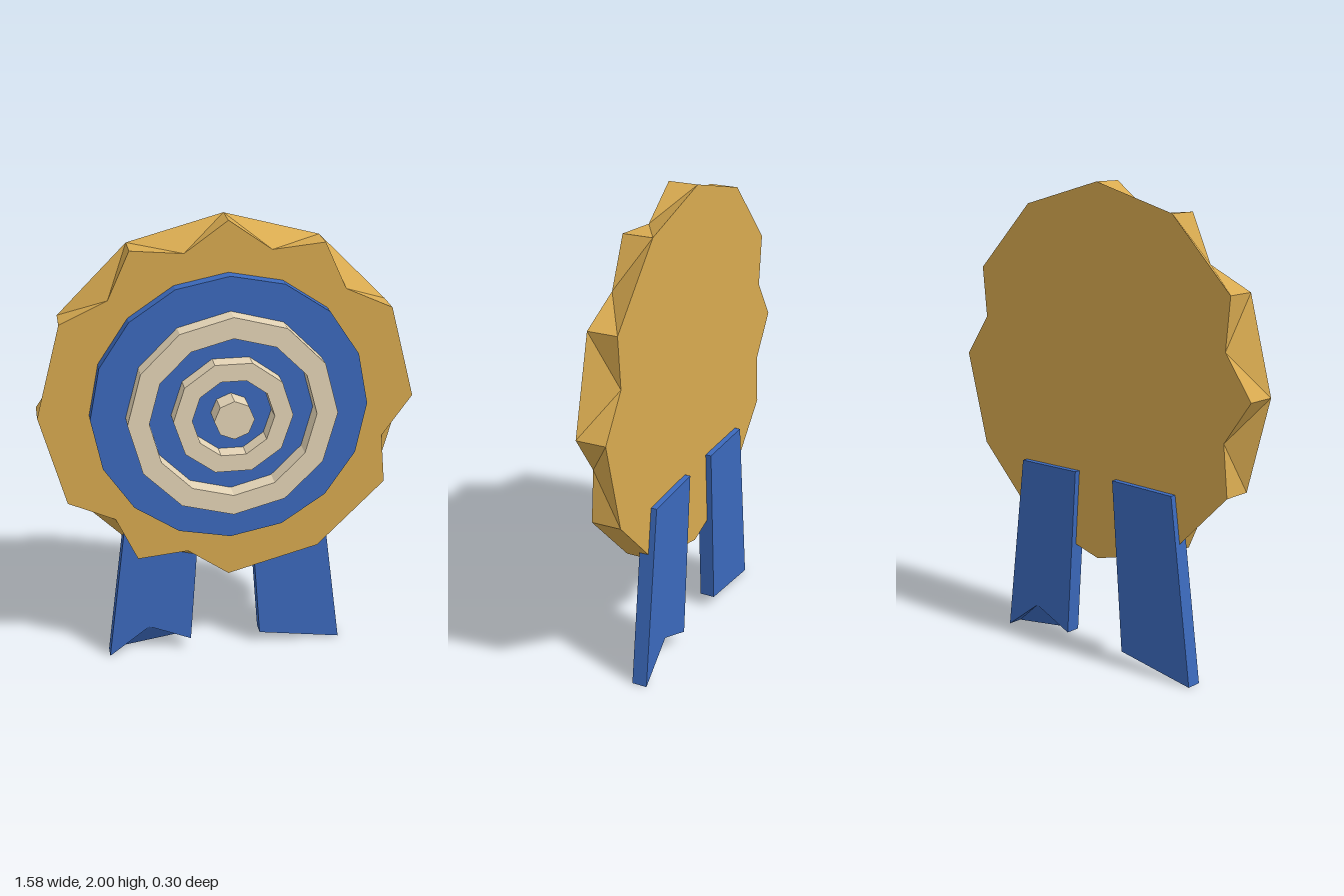
import * as THREE from 'three';

const material = (color) => new THREE.MeshStandardMaterial({ color, flatShading: true });
const gold = material(0xd8aa50);
const blue = material(0x3b69bc);
const cream = material(0xe4d4b6);

const CENTRE_Y = 1.2125;

function polygon(radius, sides, offset = 0) {
  return Array.from({ length: sides }, (_, i) => {
    const a = ((i + offset) / sides) * Math.PI * 2;
    return new THREE.Vector2(Math.cos(a) * radius, Math.sin(a) * radius);
  });
}

// Prism from a counter-clockwise outline. dents[i] = { point, front } notches
// edge i on the front or back face, leaving a sloping facet to the other face.
function dentedPrism(outline, back, front, dents = {}) {
  const pos = [];
  const tri = (...corners) => corners.forEach(([p, z]) => pos.push(p.x, p.y, z));
  const faces = { front: [], back: [] };

  outline.forEach((a, i) => {
    const b = outline[(i + 1) % outline.length];
    const dent = dents[i];
    faces.front.push(a);
    faces.back.push(a);
    let loop = [[a, back], [b, back], [b, front], [a, front]];
    if (dent) {
      const tip = [dent.point, dent.front ? front : back];
      (dent.front ? faces.front : faces.back).push(dent.point);
      // Start the wall loop at the notch tip so it can be fanned
      loop = dent.front
        ? [tip, [a, front], [a, back], [b, back], [b, front]]
        : [tip, [b, back], [b, front], [a, front], [a, back]];
    }
    for (let k = 1; k < loop.length - 1; k++) tri(loop[0], loop[k], loop[k + 1]);
  });

  for (const [i, j, k] of THREE.ShapeUtils.triangulateShape(faces.front, [])) {
    tri([faces.front[i], front], [faces.front[j], front], [faces.front[k], front]);
  }
  for (const [i, j, k] of THREE.ShapeUtils.triangulateShape(faces.back, [])) {
    tri([faces.back[k], back], [faces.back[j], back], [faces.back[i], back]);
  }
  const geometry = new THREE.BufferGeometry();
  geometry.setAttribute('position', new THREE.Float32BufferAttribute(pos, 3));
  geometry.computeVertexNormals();
  return geometry;
}

// Faceted ring lying flat against the disc
function ringGeometry(outer, inner, sides, back, front) {
  const shape = new THREE.Shape(polygon(outer, sides));
  shape.holes.push(new THREE.Path(polygon(inner, sides).reverse()));
  const geometry = new THREE.ExtrudeGeometry(shape, { depth: front - back, bevelEnabled: false });
  return geometry.translate(0, 0, back);
}

export function createModel() {
  const model = new THREE.Group();
  model.name = 'awardRosette';

  const rosette = new THREE.Group();
  rosette.name = 'rosette';
  rosette.position.y = CENTRE_Y;
  model.add(rosette);

  const add = (parent, name, geometry, mat) => {
    const mesh = new THREE.Mesh(geometry, mat);
    mesh.name = name;
    parent.add(mesh);
  };

  // Gold backing with notched rim
  const tips = polygon(0.685, 12, 0.5);
  const rimDents = {};
  for (const i of [1, 2, 3, 4, 7, 8, 11]) rimDents[i] = { point: tips[i], front: true };
  for (const i of [0, 5, 6]) rimDents[i] = { point: tips[i], front: false };
  add(rosette, 'backing', dentedPrism(polygon(0.7875, 12), -0.125, 0, rimDents), gold);

  // Blue disc, two raised rings and centre stud
  add(rosette, 'disc', dentedPrism(polygon(0.577, 16), -0.01, 0.055), blue);
  add(rosette, 'outerRing', ringGeometry(0.433, 0.345, 12, 0.05, 0.135), cream);
  add(rosette, 'innerRing', ringGeometry(0.247, 0.17, 10, 0.05, 0.13), cream);
  add(rosette, 'centreStud', dentedPrism(polygon(0.083, 8), 0.05, 0.15), cream);

  // Ribbon tails, each with a notch in its lower edge
  for (const side of [1, -1]) {
    const at = (x, y) => new THREE.Vector2(x * side, y);
    const innerLow = at(0.158, 0.055), outerLow = at(0.525, 0);
    const outerTop = at(0.422, 0.785), innerTop = at(0.105, 0.79);
    const outline = side > 0
      ? [innerLow, outerLow, outerTop, innerTop]
      : [outerLow, innerLow, innerTop, outerTop];
    const dents = { 0: { point: at(0.345, 0.135), front: side < 0 } };
    add(model, side > 0 ? 'leftRibbon' : 'rightRibbon',
      dentedPrism(outline, -0.15, -0.085, dents), blue);
  }
  return model;
}
